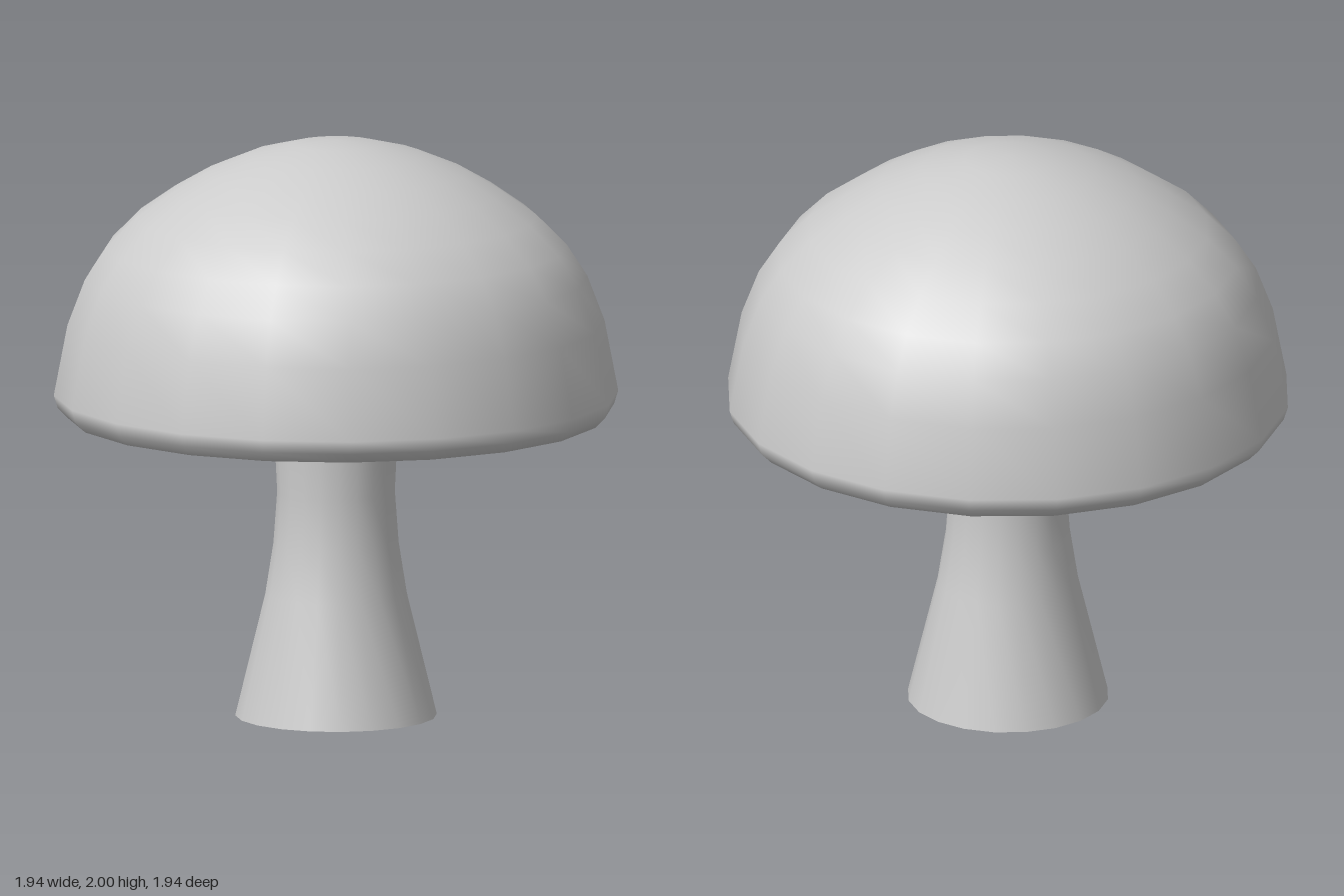
import * as THREE from 'three';
import { mergeVertices } from 'three/addons/utils/BufferGeometryUtils.js';

const SIDES = 20;

// Smooth turned part from [radius, height] pairs, listed so the faces point outward
function turned(name, profile, material) {
  const points = profile.map(([r, y]) => new THREE.Vector2(r, y));
  const lathe = new THREE.LatheGeometry(points, SIDES);
  // Weld the seam and the poles so the shading runs evenly across them
  lathe.deleteAttribute('normal');
  lathe.deleteAttribute('uv');
  const geometry = mergeVertices(lathe);
  geometry.computeVertexNormals();
  const mesh = new THREE.Mesh(geometry, material);
  mesh.name = name;
  return mesh;
}

export function createModel() {
  const group = new THREE.Group();
  group.name = 'mushroom';
  const material = new THREE.MeshStandardMaterial({ color: 0xcccccc });

  // Cap: shallow conical underside, rolled rim, then the dome up to the crown
  group.add(turned('cap', [
    [0, 1.32], [0.23, 1.285], [0.74, 1.13], [0.83, 1.06], [0.88, 1.04],
    [0.92, 1.04], [0.955, 1.075], [0.969, 1.12],
    [0.922, 1.365], [0.863, 1.52], [0.792, 1.63], [0.69, 1.733],
    [0.565, 1.82], [0.444, 1.89], [0.3, 1.95], [0.15, 1.988], [0, 2],
  ], material));

  // Stem: flared foot, slim waist, slightly wider where it meets the cap
  group.add(turned('stem', [
    [0.346, 0], [0.243, 0.423], [0.215, 0.6], [0.202, 0.78], [0.215, 1.04], [0.232, 1.3],
  ], material));

  // Flat foot disc with a sharp edge
  const base = new THREE.Mesh(new THREE.CircleGeometry(0.346, SIDES), material);
  base.name = 'stemBase';
  base.rotation.x = Math.PI / 2;
  group.add(base);

  return group;
}
